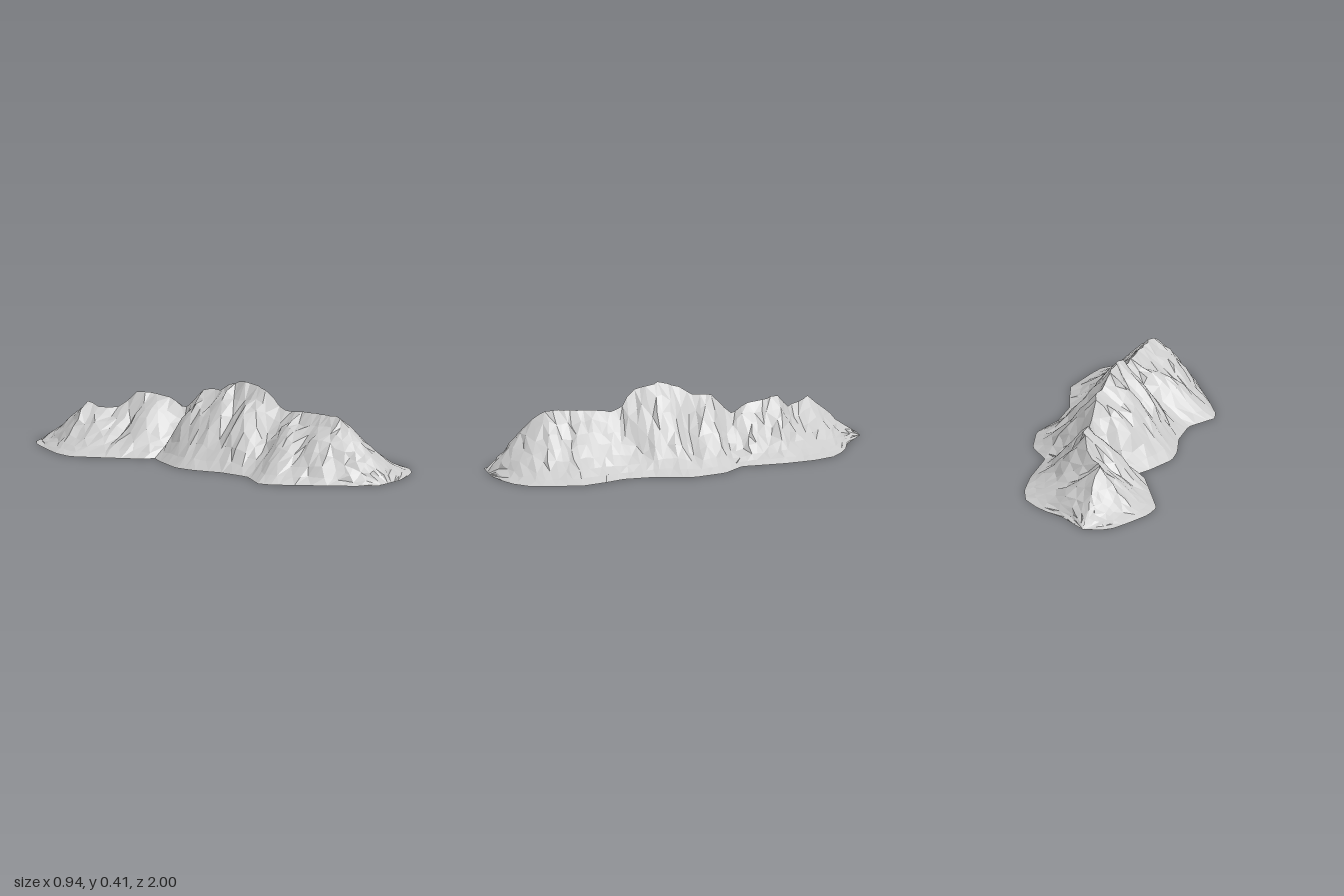
import * as THREE from 'three';

// Piecewise-linear lookup in [z, value] pairs
function at(table, z) {
  for (let i = 1; i < table.length; i++) {
    const [z0, v0] = table[i - 1], [z1, v1] = table[i];
    if (z <= z1) return v0 + (v1 - v0) * (z - z0) / (z1 - z0);
  }
  return table[table.length - 1][1];
}

// Footprint edges, crest line and crest height along z
const rightEdge = [[-1, -0.22], [-0.96, -0.34], [-0.85, -0.4], [-0.72, -0.46], [-0.62, -0.47], [-0.45, -0.37],
  [-0.3, -0.28], [-0.27, -0.23], [-0.2, -0.27], [-0.05, -0.33], [0.05, -0.32], [0.2, -0.27], [0.36, -0.26],
  [0.5, -0.345], [0.56, -0.33], [0.68, -0.25], [0.8, -0.16], [0.9, -0.09], [1, 0]];
const leftEdge = [[-1, -0.22], [-0.94, -0.13], [-0.88, -0.04], [-0.86, 0.06], [-0.77, 0.18], [-0.66, 0.23],
  [-0.5, 0.26], [-0.27, 0.27], [-0.16, 0.38], [0.02, 0.43], [0.2, 0.38], [0.37, 0.385], [0.45, 0.42],
  [0.6, 0.47], [0.8, 0.43], [0.87, 0.41], [0.95, 0.33], [1, 0.18]];
const crestX = [[-1, -0.22], [-0.85, -0.2], [-0.73, -0.2], [-0.64, -0.17], [-0.56, -0.06], [-0.5, -0.03], [-0.4, 0],
  [-0.25, 0.03], [-0.1, 0.05], [0.1, 0.035], [0.25, 0.05], [0.35, 0.08], [0.68, 0.07], [0.8, 0.06], [1, 0.09]];
const crestY = [[-1, 0], [-0.9, 0.07], [-0.8, 0.155], [-0.73, 0.23], [-0.66, 0.2], [-0.59, 0.2], [-0.53, 0.28],
  [-0.42, 0.27], [-0.35, 0.26], [-0.28, 0.21], [-0.22, 0.26], [-0.16, 0.33], [-0.05, 0.335], [0, 0.375],
  [0.1, 0.405], [0.24, 0.375], [0.3, 0.3], [0.35, 0.275], [0.44, 0.29], [0.68, 0.3], [0.75, 0.275],
  [0.9, 0.12], [1, 0]];

// Slope profiles from crest to foot: steep, and with a shoulder
const steep = [1, 0.84, 0.67, 0.5, 0.33, 0.18, 0.08, 0];
const shoulder = [1, 0.88, 0.79, 0.68, 0.5, 0.3, 0.13, 0];

// Gullies: side (-1 right, 1 left), z at crest, drift toward the foot, half width, depth
const gullies = [
  [1, -0.02, 0, 0.04, 0.4], [1, 0.28, -0.06, 0.06, 0.28], [1, -0.22, -0.05, 0.05, 0.3],
  [1, -0.47, 0.05, 0.04, 0.3], [1, -0.62, -0.2, 0.06, 0.3], [1, 0.55, 0.2, 0.05, 0.15],
  [-1, 0.12, -0.03, 0.04, 0.35], [-1, 0.3, 0.06, 0.06, 0.32], [-1, -0.27, -0.02, 0.05, 0.35],
  [-1, -0.55, 0.15, 0.05, 0.3], [-1, 0.48, 0.2, 0.05, 0.22], [-1, -0.7, 0.03, 0.03, 0.2],
];

export function createModel() {
  let seed = 17;
  const jitter = (s) => {
    seed = (seed * 16807) % 2147483647;
    return (seed / 2147483647 - 0.5) * s;
  };
  const rows = 60, half = 7, cols = 2 * half + 1;
  const pos = [], index = [];

  // One cross-section per row, foot to crest to foot
  for (let i = 0; i <= rows; i++) {
    const z = -1 + 2 * i / rows;
    const cx = at(crestX, z), cy = at(crestY, z);
    const inner = i > 0 && i < rows;
    for (let j = -half; j <= half; j++) {
      const side = Math.sign(j), k = Math.abs(j), t = k / half;
      const foot = at(side < 0 ? rightEdge : leftEdge, z);
      let y = cy * (side < 0 && z > -0.5 ? shoulder : steep)[k];
      for (const [s, gz, drift, w, depth] of gullies) {
        if (s === side) y *= 1 - depth * Math.sin(Math.PI * t) * Math.exp(-(((z - gz - drift * t) / w) ** 2));
      }
      let x = cx + (foot - cx) * t, pz = z;
      if (inner && k < half) {
        x += jitter(0.016);
        pz += jitter(0.022);
        if (k > 0) y *= 1 + jitter(0.1);
      }
      pos.push(x, y, pz);
    }
  }

  // Alternate the diagonals for a rocky facet pattern
  for (let i = 0; i < rows; i++) {
    for (let j = 0; j < cols - 1; j++) {
      const a = i * cols + j, b = a + 1, c = a + cols, d = c + 1;
      if ((i + j) % 2) index.push(a, c, b, b, c, d);
      else index.push(a, c, d, a, d, b);
    }
  }

  const geometry = new THREE.BufferGeometry();
  geometry.setAttribute('position', new THREE.Float32BufferAttribute(pos, 3));
  geometry.setIndex(index);
  geometry.computeVertexNormals();

  // Open-bottomed rock shell
  const ridge = new THREE.Mesh(geometry, new THREE.MeshStandardMaterial({
    color: 0xcccccc, flatShading: true, side: THREE.DoubleSide,
  }));
  ridge.name = 'mountainRidge';
  const group = new THREE.Group();
  group.name = 'mountain';
  group.add(ridge);
  return group;
}
